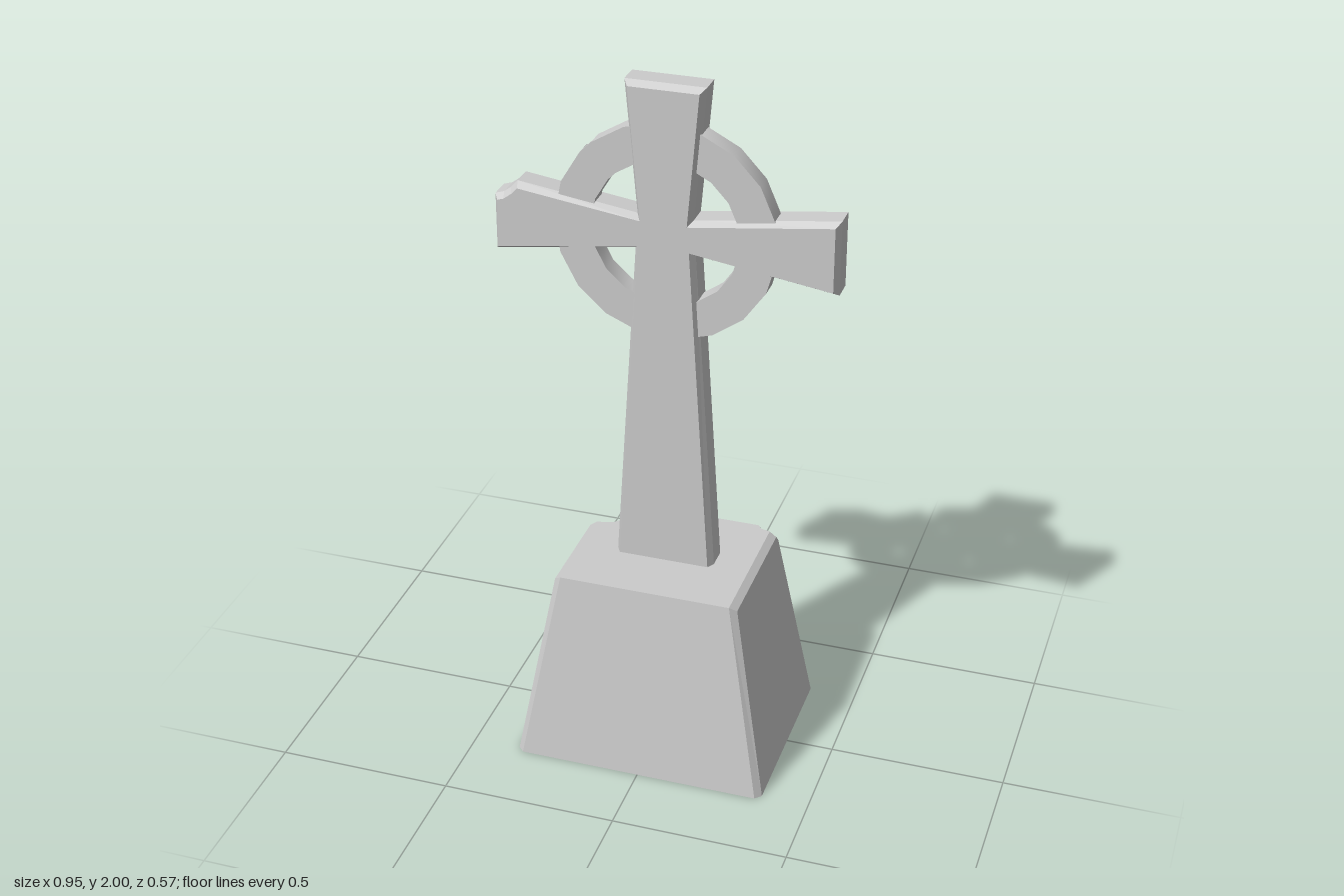
import * as THREE from 'three';
import { mergeGeometries, toCreasedNormals } from 'three/addons/utils/BufferGeometryUtils.js';

const stone = new THREE.MeshStandardMaterial({ color: 0xcccccc });
const openStone = new THREE.MeshStandardMaterial({ color: 0xcccccc, side: THREE.DoubleSide });
const V = (x, y, z) => new THREE.Vector3(x, y, z);

// Collects flat polygons, each turned to face along a given outward direction
class Faces {
  data = [];
  tri(a, b, c, out) {
    const n = V().subVectors(b, a).cross(V().subVectors(c, a));
    for (const p of n.dot(out) < 0 ? [a, c, b] : [a, b, c]) this.data.push(p.x, p.y, p.z);
  }
  polygon(loop, out, holes = []) {
    const ax = Math.abs(out.x), ay = Math.abs(out.y), az = Math.abs(out.z);
    const flat = (p) => ax >= ay && ax >= az ? new THREE.Vector2(p.z, p.y)
      : ay >= az ? new THREE.Vector2(p.x, p.z) : new THREE.Vector2(p.x, p.y);
    const all = [loop, ...holes].flat();
    const tris = THREE.ShapeUtils.triangulateShape(loop.map(flat), holes.map((h) => h.map(flat)));
    for (const [a, b, c] of tris) this.tri(all[a], all[b], all[c], out);
  }
  fan(loop, centre, out) {
    loop.forEach((p, i) => this.tri(p, loop[(i + 1) % loop.length], centre, out));
  }
  geometry() {
    const g = new THREE.BufferGeometry();
    g.setAttribute('position', new THREE.Float32BufferAttribute(this.data, 3));
    g.computeVertexNormals();
    return g;
  }
}

// Tapered plinth with chamfered corners, two chipped rear corners and two pits
function plinth() {
  const f = new Faces();
  const sideX = (y) => 0.365 - 0.1 * y / 0.565;
  const faceZ = (y) => 0.285 - 0.069 * y / 0.58;
  const edgeX = (y) => V(sideX(y), y, 0.267 - 0.064 * y / 0.565);
  const edgeZ = (y) => V(0.348 - 0.103 * y / 0.58, y, faceZ(y));
  const at = (p, sx, sz) => V(p.x * sx, p.y, p.z * sz);

  // Chip outlines, given as if on the +x rear corner
  const chips = {
    '-1': {
      top: [[0.135, 0.216], [0.155, 0.155], [0.195, 0.105], [0.245, 0.09]], strip: 0.09,
      side: [[0.45, 0.12], [0.405, 0.185]], low: [0.38, 0.37],
      back: [[0.24, 0.395], [0.19, 0.455], [0.15, 0.53]], centre: [0.212, 0.47, 0.155],
    },
    '1': {
      top: [[0.205, 0.216], [0.218, 0.2], [0.245, 0.193]], strip: 0.193,
      side: [], low: [0.55, 0.545],
      back: [[0.218, 0.555]], centre: [0.232, 0.562, 0.203],
    },
  };

  const top = {}, back = {};
  for (const s of [-1, 1]) {
    const c = chips[s];
    const cTop = c.top.map(([x, z]) => V(x * s, 0.58, -z));
    const cStrip = V(0.265 * s, 0.565, -c.strip);
    const cSide = c.side.map(([y, z]) => V(sideX(y) * s, y, -z));
    const lowX = at(edgeX(c.low[0]), s, -1), lowZ = at(edgeZ(c.low[1]), s, -1);
    const cBack = c.back.map(([x, y]) => V(x * s, y, -faceZ(y)));
    f.fan([...cTop, cStrip, ...cSide, lowX, lowZ, ...cBack], V(c.centre[0] * s, c.centre[1], -c.centre[2]), V(s, 1, -1));
    top[s] = cTop;
    back[s] = [at(edgeZ(0), s, -1), lowZ, ...cBack, cTop[0]];
    const fx = at(edgeX(0.565), s, 1), fz = at(edgeZ(0.58), s, 1);
    f.polygon([at(edgeX(0), s, 1), fx, cStrip, ...cSide, lowX, at(edgeX(0), s, -1)], V(s, 0.1, 0));
    f.polygon([fz, fx, cStrip, cTop.at(-1)], V(0.6 * s, 0.8, 0));
    f.polygon([at(edgeX(0), s, 1), at(edgeZ(0), s, 1), fz, fx], V(s, 0.1, 0.9));
    f.polygon([at(edgeX(0), s, -1), at(edgeZ(0), s, -1), lowZ, lowX], V(s, 0.1, -0.9));
  }
  f.polygon([at(edgeZ(0.58), 1, 1), ...top[1].slice().reverse(), ...top[-1], at(edgeZ(0.58), -1, 1)], V(0, 1, 0));
  f.polygon([edgeZ(0), edgeZ(0.58), at(edgeZ(0.58), -1, 1), at(edgeZ(0), -1, 1)], V(0, 0.1, 1));

  // Rear pits
  const pits = [[-0.03, 0.29, 0.027, 0.03], [0.047, 0.4, 0.033, 0.026]].map(([x, y, rx, ry]) => {
    const rim = Array.from({ length: 8 }, (_, i) => {
      const a = i * Math.PI / 4, py = y + ry * Math.sin(a);
      return V(x + rx * Math.cos(a), py, -faceZ(py));
    });
    f.fan(rim, V(x, y, -faceZ(y) + 0.025), V(0, 0, -1));
    return rim;
  });
  f.polygon([...back[1], ...back[-1].slice().reverse()], V(0, 0.1, -1), pits);
  f.polygon([edgeX(0), edgeZ(0), at(edgeZ(0), -1, 1), at(edgeX(0), -1, 1),
    at(edgeX(0), -1, -1), at(edgeZ(0), -1, -1), at(edgeZ(0), 1, -1), at(edgeX(0), 1, -1)], V(0, -1, 0));

  const mesh = new THREE.Mesh(f.geometry(), stone);
  mesh.name = 'plinth';
  return mesh;
}

// Flared cross with bevelled edges and a broken tip on one arm
function cross() {
  const outline = [
    [0.147, 0.5], [0.083, 1.53], [0.472, 1.473], [0.472, 1.683], [0.077, 1.63], [0.11, 2],
    [-0.11, 2], [-0.077, 1.63], [-0.41, 1.677], [-0.43, 1.655], [-0.45, 1.64], [-0.475, 1.632],
    [-0.475, 1.473], [-0.083, 1.53], [-0.147, 0.5],
  ].map(([x, y]) => new THREE.Vector2(x, y));
  const g = new THREE.ExtrudeGeometry(new THREE.Shape(outline), {
    depth: 0.061, bevelThickness: 0.022, bevelSize: 0.013, bevelOffset: -0.013, bevelSegments: 1,
  });
  g.translate(0, 0, -0.0425);
  const mesh = new THREE.Mesh(g, stone);
  mesh.name = 'cross';
  return mesh;
}

// Ring with a groove between two raised rims at the back and a nick in the outer rim
function ring() {
  const front = [[0.307, 0.026], [0.205, 0.026]];
  const inner = [[0.205, -0.031], [0.212, -0.04], [0.222, -0.04], [0.23, -0.02]];
  const full = [...front, ...inner, [0.282, -0.02], [0.29, -0.04], [0.3, -0.04], [0.307, -0.031]];
  const nicked = [...front, ...inner, [0.27, -0.02], [0.28, 0.0], [0.307, 0.008]];
  const vec = (pts) => pts.map(([r, y]) => new THREE.Vector2(r, y));
  const closed = (pts) => vec([...pts, pts[0]]);
  const nick = 0.15, mid = Math.PI * 1.25, start = mid + nick / 2;
  const arcs = [
    new THREE.LatheGeometry(closed(full), 18, start, Math.PI * 2 - nick),
    new THREE.LatheGeometry(closed(nicked), 1, mid - nick / 2, nick),
  ].map((g) => toCreasedNormals(g, 0.5));
  const caps = [-1, 1].map((s) => new THREE.ShapeGeometry(new THREE.Shape(vec(full)))
    .rotateY(mid + s * nick / 2 - Math.PI / 2).toNonIndexed());
  const g = mergeGeometries([...arcs, ...caps]);
  g.rotateX(Math.PI / 2);
  g.translate(0, 1.583, 0);
  const mesh = new THREE.Mesh(g, openStone);
  mesh.name = 'ring';
  return mesh;
}

export function createModel() {
  const group = new THREE.Group();
  group.name = 'stoneCross';
  group.add(plinth(), cross(), ring());
  return group;
}
